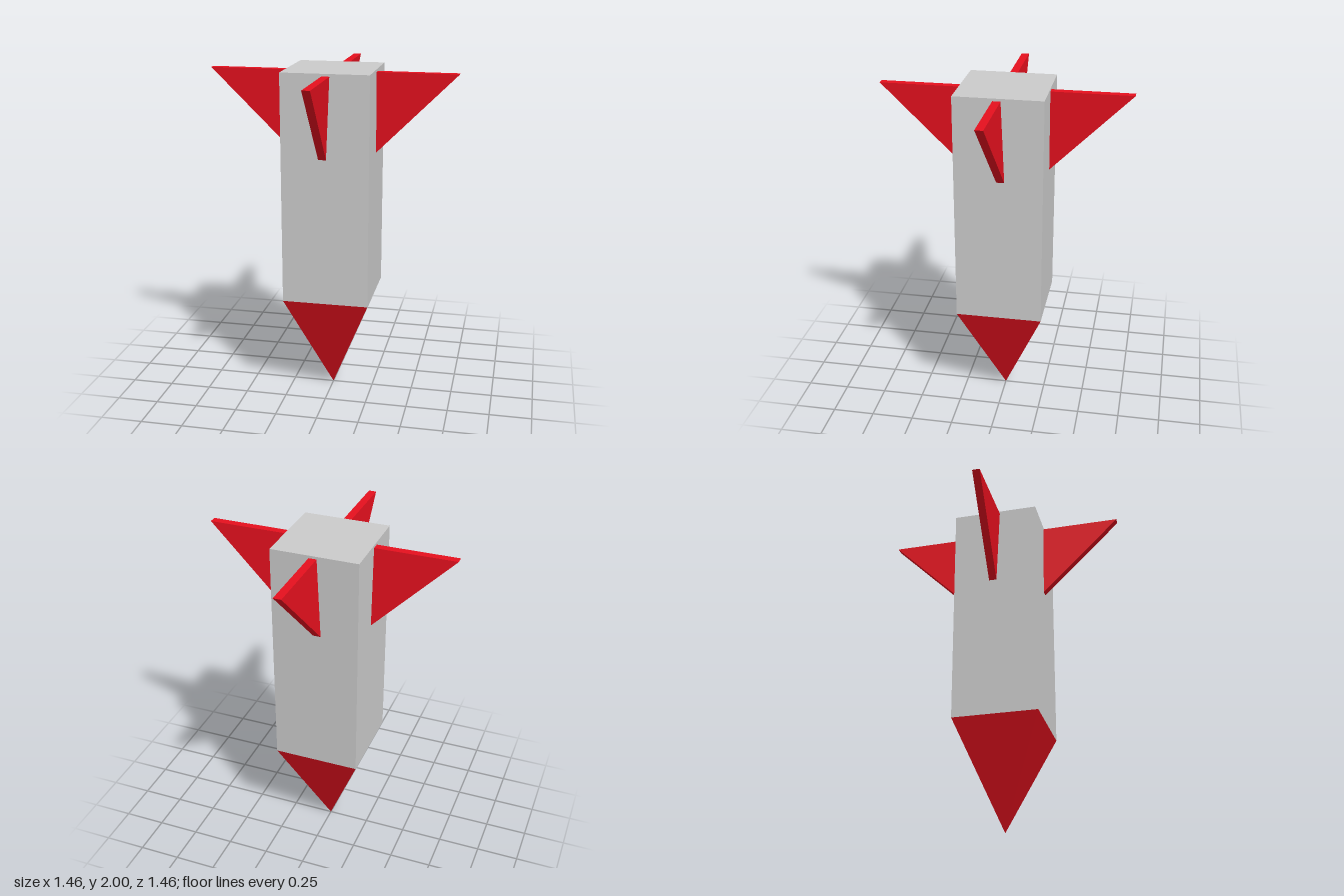
import * as THREE from 'three';

const HALF = 0.257; // half width of the body
const BODY_BASE = 0.63;
const FIN_TOP = 1.985;
const FIN_BOTTOM = 1.51;
const FIN_REACH = 0.73;
const FIN_THICKNESS = 0.046;

// Triangular fin pointing along +x, leaning sideways with height
function finGeometry(lean) {
  const shape = new THREE.Shape([
    new THREE.Vector2(HALF, FIN_BOTTOM),
    new THREE.Vector2(FIN_REACH, FIN_TOP),
    new THREE.Vector2(HALF, FIN_TOP),
  ]);
  const geometry = new THREE.ExtrudeGeometry(shape, { depth: FIN_THICKNESS, bevelEnabled: false });
  const p = geometry.attributes.position;
  for (let i = 0; i < p.count; i++) {
    const t = (p.getY(i) - FIN_BOTTOM) / (FIN_TOP - FIN_BOTTOM);
    const offset = lean * THREE.MathUtils.lerp(-0.0135, 0.0065, t);
    p.setZ(i, p.getZ(i) - FIN_THICKNESS / 2 + offset);
  }
  geometry.computeVertexNormals();
  return geometry;
}

export function createModel() {
  const group = new THREE.Group();
  const grey = new THREE.MeshStandardMaterial({ color: 0xcccccc, flatShading: true });
  const red = new THREE.MeshStandardMaterial({ color: 0xe6101e, flatShading: true });

  const add = (name, geometry, material) => {
    const mesh = new THREE.Mesh(geometry, material);
    mesh.name = name;
    group.add(mesh);
    return mesh;
  };

  // Square body
  const bodyHeight = 2 - BODY_BASE;
  add('body', new THREE.BoxGeometry(HALF * 2, bodyHeight, HALF * 2), grey)
    .position.y = BODY_BASE + bodyHeight / 2;

  // Four-sided nose pointing down
  const nose = new THREE.ConeGeometry(HALF * Math.SQRT2, BODY_BASE, 4);
  nose.rotateY(Math.PI / 4).rotateX(Math.PI).translate(0, BODY_BASE / 2, 0);
  add('nose', nose, red);

  // Opposite fins lean the same way, so the lean flips after half a turn
  ['leftFin', 'backFin', 'rightFin', 'frontFin'].forEach((name, i) => {
    add(name, finGeometry(i < 2 ? 1 : -1), red).rotation.y = i * Math.PI / 2;
  });

  return group;
}
